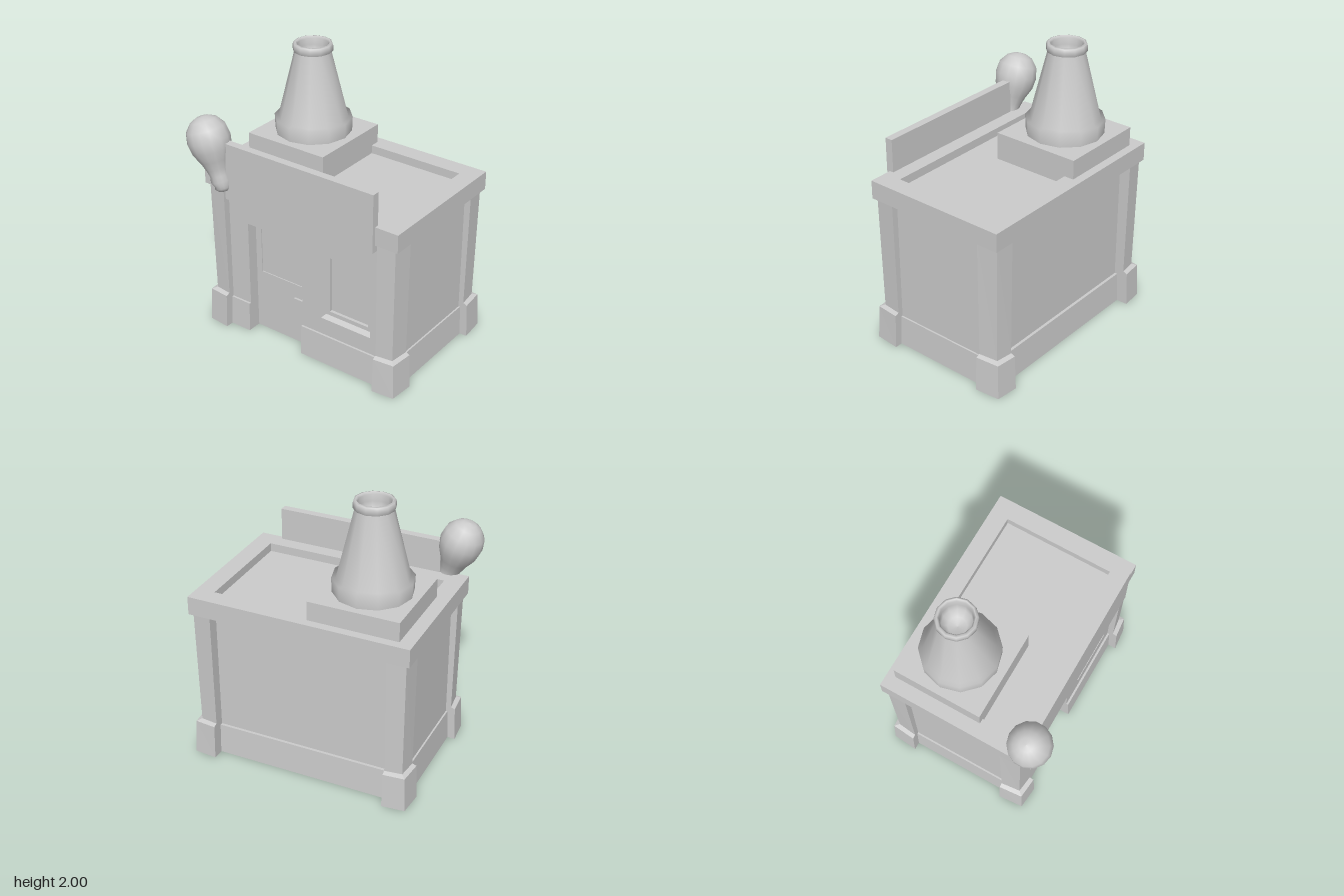
import * as THREE from 'three';

const CX = 0.03, CZ = -0.07; // centre of the building plan

export function createModel() {
  const group = new THREE.Group();
  const mat = new THREE.MeshStandardMaterial({ color: 0xcccccc });
  const smooth = new THREE.MeshStandardMaterial({ color: 0xcccccc, side: THREE.DoubleSide });

  const add = (name, geo, m = mat) => {
    const mesh = new THREE.Mesh(geo, m);
    mesh.name = name;
    group.add(mesh);
    return mesh;
  };
  // Box from its limits
  const box = (name, x0, x1, y0, y1, z0, z1) => {
    const g = new THREE.BoxGeometry(x1 - x0, y1 - y0, z1 - z0);
    g.translate((x0 + x1) / 2, (y0 + y1) / 2, (z0 + z1) / 2);
    return add(name, g);
  };
  const poly = (...pts) => new THREE.Shape(pts.map(p => new THREE.Vector2(...p)));
  const rect = (x0, x1, y0, y1) => poly([x0, y0], [x1, y0], [x1, y1], [x0, y1]);
  // Upright plate facing the front, with holes
  const plate = (shape, holes, z0, z1) => {
    shape.holes.push(...holes.map(h => rect(...h)));
    const g = new THREE.ExtrudeGeometry(shape, { depth: z1 - z0, bevelEnabled: false });
    return g.translate(0, 0, z0);
  };
  // Move vertices by a rule, then refresh the flat normals
  const reshape = (g, rule) => {
    const p = g.attributes.position, v = new THREE.Vector3();
    for (let i = 0; i < p.count; i++) {
      rule(v.fromBufferAttribute(p, i));
      p.setXYZ(i, v.x, v.y, v.z);
    }
    g.computeVertexNormals();
    return g;
  };

  // Thin walls above the plinth; the front one has door and window openings
  const [dx0, dx1, dTop] = [-0.437, 0.022, 0.86], WIN = [0.18, 0.582, 0.345, 0.858];
  const wall = poly([-0.69, 0.2], [dx0, 0.2], [dx0, dTop], [dx1, dTop], [dx1, 0.2],
    [0.75, 0.2], [0.75, 1.1], [-0.69, 1.1]);
  add('frontWall', plate(wall, [WIN], 0.388, 0.4));
  box('backWall', -0.69, 0.75, 0.2, 1.1, -0.51, -0.498);
  box('rightWall', -0.697, -0.685, 0.2, 1.1, -0.5, 0.39);
  box('leftWall', 0.745, 0.757, 0.2, 1.1, -0.5, 0.39);

  // Plinth bands, with the top outer edge sloped back
  const band = (name, ...limits) => reshape(box(name, ...limits).geometry, v => {
    if (v.y < 0.1) return;
    if (Math.abs(v.x - CX) > 0.74) v.x -= Math.sign(v.x - CX) * 0.01;
    if (v.z > 0.415) v.z -= 0.01;
    if (v.z < -0.53) v.z += 0.01;
  });
  band('frontPlinth', -0.7, dx0, 0, 0.22, 0.399, 0.425);
  band('frontPlinth', dx1, 0.76, 0, 0.22, 0.399, 0.425);
  band('backPlinth', -0.7, 0.76, 0, 0.22, -0.54, -0.509);
  band('rightPlinth', -0.719, -0.696, 0, 0.22, -0.52, 0.41);
  band('leftPlinth', 0.756, 0.779, 0, 0.22, -0.52, 0.41);

  // L-shaped corner piece, its corner edge set in; flare moves the outer faces at the top
  const corner = (name, sx, sz, ox, oz, y0, y1, flare) => {
    const ix = 0.628, iz = 0.36, tx = 0.72, tz = sz > 0 ? 0.47 : 0.435, inset = 0.015;
    const s = poly(...[[ix, oz], [ox - inset, oz - inset], [ox, iz], [tx, iz], [tx, tz], [ix, tz]]
      .map(([x, z]) => [sx * x, -sz * z]));
    const g = new THREE.ExtrudeGeometry(s, { depth: y1 - y0, bevelEnabled: false });
    g.rotateX(-Math.PI / 2);
    reshape(g, v => {
      if (v.y < 1e-4) return;
      if (Math.abs(v.x) > tx + 0.01) v.x += sx * flare;
      if (Math.abs(v.z) > tz + 0.01) v.z += sz * flare;
    });
    add(name, g.translate(CX, y0, CZ));
  };
  for (const sx of [-1, 1]) for (const sz of [-1, 1]) {
    corner('cornerPillar', sx, sz, 0.764, 0.512, 0.25, 1.1, 0.009);
    corner('pillarBase', sx, sz, 0.803, 0.553, 0, 0.25, -0.01);
    corner('pillarBaseSlope', sx, sz, 0.793, 0.543, 0.25, 0.262, -0.029);
  }

  // Recessed doorway, door with a slightly sunken upper panel, and handle
  const t = 0.01;
  const surround = poly([dx0 - t, 0], [dx0, 0], [dx0, dTop], [dx1, dTop], [dx1, 0],
    [dx1 + t, 0], [dx1 + t, dTop + t], [dx0 - t, dTop + t]);
  add('doorway', plate(surround, [], 0.31, 0.4));
  add('door', plate(rect(dx0, dx1, 0, dTop), [[-0.39, -0.03, 0.46, 0.82]], 0.31, 0.32));
  box('doorPanel', -0.4, -0.02, 0.45, 0.83, 0.305, 0.313);
  box('doorHandle', -0.09, -0.015, 0.35, 0.367, 0.335, 0.35);
  box('doorHandleStem', -0.035, -0.017, 0.352, 0.365, 0.315, 0.34);

  // Window: sloped reveal, inner frame and pane
  const reveal = plate(rect(...WIN), [[0.195, 0.567, 0.36, 0.843]], 0.36, 0.4);
  add('windowReveal', reshape(reveal, v => {
    if (v.z < 0.39) return;
    v.x = v.x < 0.38 ? WIN[0] : WIN[1];
    v.y = v.y < 0.6 ? WIN[2] : WIN[3];
  }));
  add('windowFrame', plate(rect(...WIN), [[0.225, 0.537, 0.39, 0.808]], 0.335, 0.36));
  box('windowPane', 0.215, 0.547, 0.38, 0.82, 0.33, 0.338);

  // Roof: parapet ring around a sunken deck
  const parapet = rect(-0.755, 0.815, -0.455, 0.595);
  parapet.holes.push(rect(-0.625, 0.685, -0.325, 0.465));
  const roof = new THREE.ExtrudeGeometry(parapet, { depth: 0.13, bevelEnabled: false });
  add('roofParapet', roof.rotateX(-Math.PI / 2).translate(0, 1.1, 0));
  box('roofDeck', -0.63, 0.69, 1.1, 1.17, -0.47, 0.33);
  box('signBoard', -0.555, 0.645, 1.05, 1.465, 0.425, 0.48);

  // Chimney on a square block
  box('chimneyBlock', -0.66, -0.025, 1.165, 1.365, -0.535, 0.1);
  const lathe = (pts, n) => new THREE.LatheGeometry(pts.map(p => new THREE.Vector2(...p)), n);
  const chimney = lathe([
    [0.266, 1.362], [0.27, 1.466], [0.241, 1.468], [0.125, 1.94],
    [0.136, 1.945], [0.138, 1.975], [0.132, 1.996], [0.118, 2], [0.107, 1.985],
    [0.105, 1.94], [0.1, 1.88], [0.06, 1.85], [0, 1.84],
  ], 12);
  add('chimney', chimney.translate(-0.345, 0, -0.22), smooth);

  // Tilted bulb lamp with a beaded neck on the front corner
  const lamp = add('bulbLamp', lathe([
    [0, 0], [0.038, 0.002], [0.058, 0.025], [0.056, 0.042], [0.072, 0.075], [0.066, 0.115],
    [0.08, 0.165], [0.102, 0.225], [0.137, 0.295], [0.149, 0.37], [0.136, 0.445],
    [0.09, 0.502], [0.045, 0.524], [0, 0.53],
  ], 14), smooth);
  lamp.position.set(-0.565, 1.11, 0.478);
  lamp.rotation.z = 0.32;

  return group;
}
